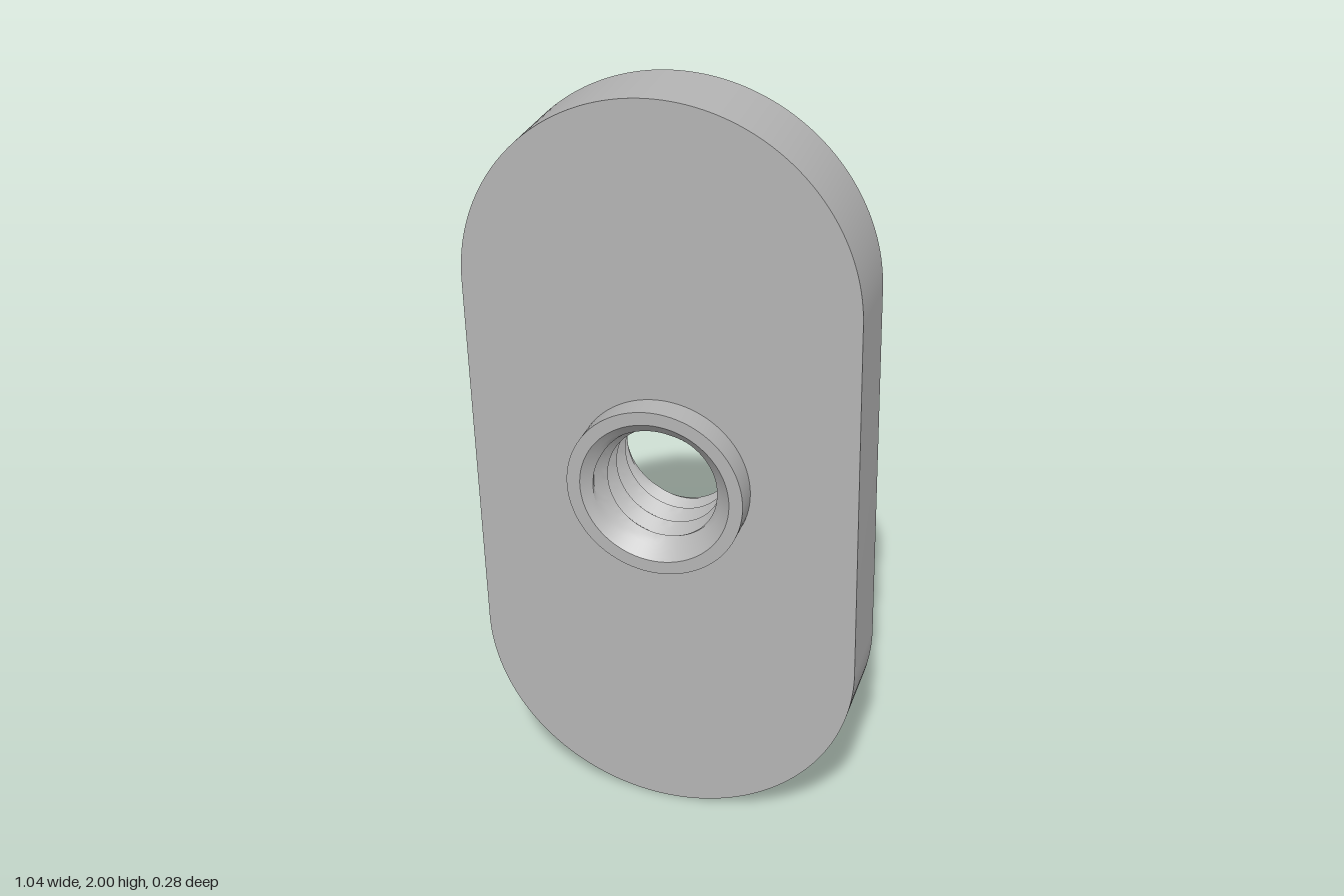
import * as THREE from 'three';
import { toCreasedNormals } from 'three/addons/utils/BufferGeometryUtils.js';

const BACK = -0.14, FACE = 0.07, FRONT = 0.14; // z of plate back, plate front, collar front
const MINOR = 0.145, MAJOR = 0.17, PITCH = 0.07; // thread
const MOUTH_FRONT = 0.195, MOUTH_BACK = 0.172;

// Slightly leaning plate with round ends and a hole
function plateGeometry() {
  const R = 0.505, cx = 0.013, cy = 0.495;
  const tilt = Math.atan2(cx, cy);
  const shape = new THREE.Shape();
  shape.absarc(-cx, cy, R, tilt, tilt + Math.PI, false);
  shape.absarc(cx, -cy, R, tilt + Math.PI, tilt + 2 * Math.PI, false);
  shape.closePath();
  const hole = new THREE.Path();
  hole.absarc(0, 0, MOUTH_BACK, 0, Math.PI * 2, true);
  shape.holes.push(hole);
  const g = new THREE.ExtrudeGeometry(shape, { depth: FACE - BACK, bevelEnabled: false, curveSegments: 48 });
  g.translate(0, 0, BACK);
  return toCreasedNormals(g, 0.5);
}

// Raised ring on the front
function collarGeometry() {
  const profile = [[0.23, FACE], [0.23, FRONT], [MOUTH_FRONT, FRONT]].map(p => new THREE.Vector2(...p));
  const g = new THREE.LatheGeometry(profile, 96);
  g.rotateX(Math.PI / 2);
  return toCreasedNormals(g, 0.5);
}

// Helical bore: V thread cut back by a 45 degree chamfer at each mouth
function threadGeometry() {
  const around = 96, perTurn = 8, step = PITCH / perTurn;
  const rows = Math.ceil((FRONT - BACK + PITCH) / step) + 1;
  const pos = [], index = [];
  for (let j = 0; j <= rows; j++) {
    for (let i = 0; i <= around; i++) {
      const t = i / around, a = t * Math.PI * 2;
      const start = BACK - PITCH;
      const z = THREE.MathUtils.clamp(start + j * step + t * PITCH, BACK, FRONT);
      const phase = (((z - start) / PITCH - t) % 1 + 1) % 1;
      const vee = MINOR + (MAJOR - MINOR) * Math.abs(2 * phase - 1);
      const r = Math.max(vee, MOUTH_FRONT - (FRONT - z), MOUTH_BACK - (z - BACK));
      pos.push(r * Math.cos(a), r * Math.sin(a), z);
    }
  }
  const zAt = k => pos[k * 3 + 2];
  const addFace = (a, b, c) => {
    const flat = zAt(a) === zAt(b) && zAt(b) === zAt(c);
    if (!flat) index.push(a, b, c);
  };
  for (let j = 0; j < rows; j++) {
    for (let i = 0; i < around; i++) {
      const a = j * (around + 1) + i, c = a + around + 1;
      addFace(a, c, a + 1);
      addFace(a + 1, c, c + 1);
    }
  }
  const g = new THREE.BufferGeometry();
  g.setAttribute('position', new THREE.Float32BufferAttribute(pos, 3));
  g.setIndex(index);
  return toCreasedNormals(g, 0.5);
}

export function createModel() {
  const steel = new THREE.MeshStandardMaterial({ color: 0xb4b4b4 });
  steel.name = 'plain grey steel';
  const group = new THREE.Group();
  group.name = 'slotNut';
  const parts = { plate: plateGeometry(), collar: collarGeometry(), threadedBore: threadGeometry() };
  for (const [name, geometry] of Object.entries(parts)) {
    const mesh = new THREE.Mesh(geometry, steel);
    mesh.name = name;
    mesh.position.y = 1;
    group.add(mesh);
  }
  return group;
}
